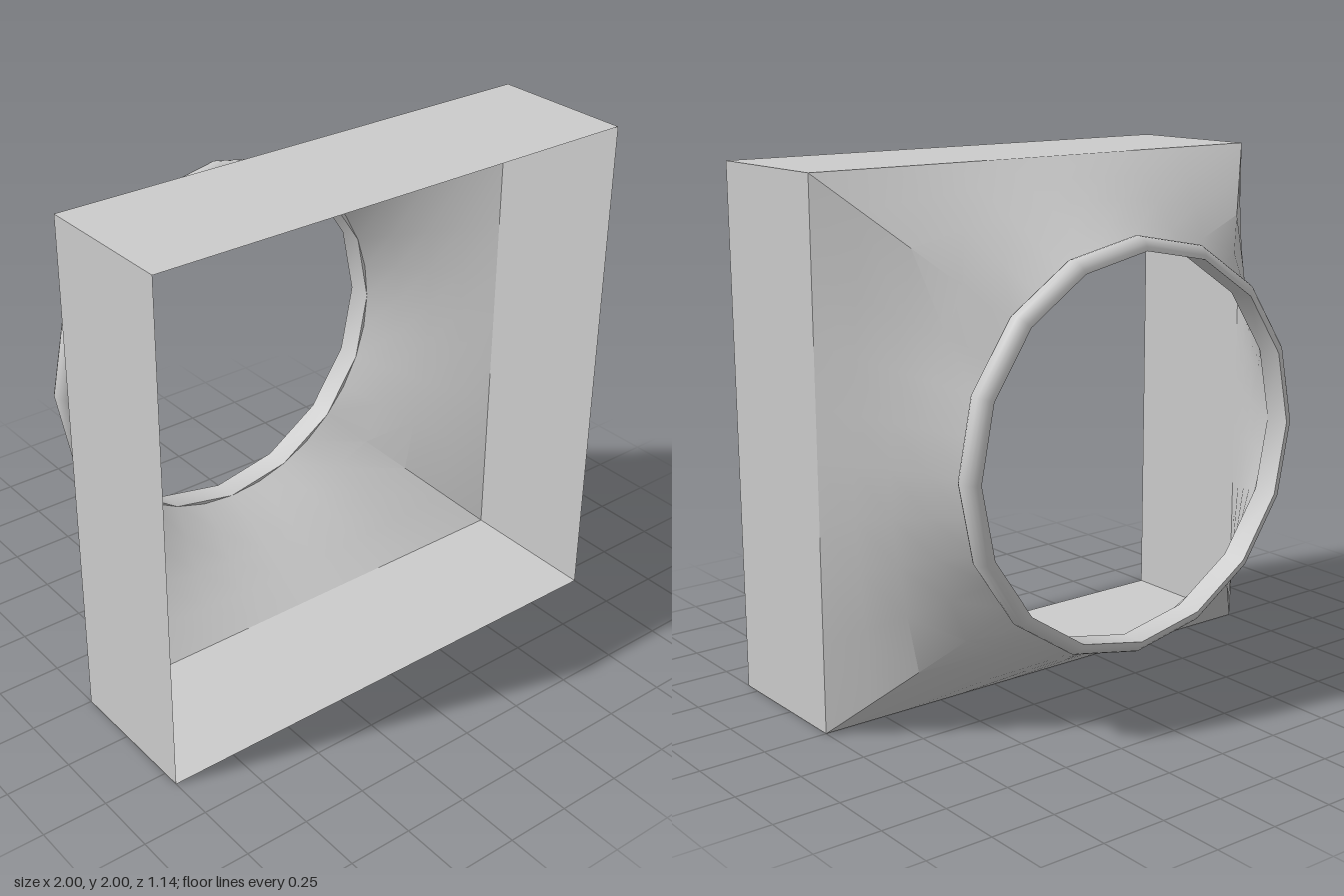
import * as THREE from 'three';
import { toCreasedNormals } from 'three/addons/utils/BufferGeometryUtils.js';

const DEPTH = 0.57;      // half of the total depth
const RADIUS = 0.715;    // round opening
const RIM = 0.05;        // radius of the half-round rim
const RIM_Z = -0.52;

// Skin straight quads between closed rings of points (wound outwards).
function loft(rings, crease) {
  const n = rings[0].length;
  const index = [];
  for (let r = 0; r < rings.length - 1; r++) {
    for (let i = 0; i < n; i++) {
      const a = r * n + i, b = r * n + (i + 1) % n, c = a + n, d = b + n;
      index.push(a, c, b, b, c, d);
    }
  }
  const geo = new THREE.BufferGeometry().setFromPoints(rings.flat());
  geo.setIndex(index);
  return toCreasedNormals(geo, crease);
}

// Point on the unit square in the direction of an angle.
function squarePoint(angle, z) {
  const x = Math.cos(angle), y = Math.sin(angle);
  const s = 1 / Math.max(Math.abs(x), Math.abs(y));
  return new THREE.Vector3(x * s, y * s, z);
}

export function createModel() {
  const group = new THREE.Group();
  const material = new THREE.MeshStandardMaterial({ color: 0xcccccc, side: THREE.DoubleSide });
  const add = (name, geometry) => {
    const mesh = new THREE.Mesh(geometry, material);
    mesh.name = name;
    mesh.position.y = 1;
    group.add(mesh);
    return mesh;
  };

  // Open square duct at the front
  const corners = [1, 3, 5, 7].map(k => k * Math.PI / 4);
  add('squareDuct', loft([DEPTH, 0].map(z => corners.map(a => squarePoint(a, z))), 0.5));

  // Transition from the square to the circle
  const angles = Array.from({ length: 32 }, (_, i) => i * Math.PI / 16);
  const rows = 4;
  const rings = [];
  for (let r = 0; r <= rows; r++) {
    rings.push(angles.map(a => {
      const circle = new THREE.Vector3(RADIUS * Math.cos(a), RADIUS * Math.sin(a), RIM_Z + RIM);
      return squarePoint(a, 0).lerp(circle, r / rows);
    }));
  }
  add('squareToRoundTransition', loft(rings, 0.6));

  // Half-round rim with a flat inner wall
  const profile = [];
  for (let i = 0; i <= 10; i++) {
    const t = -Math.PI / 2 + i * Math.PI / 10;
    profile.push(new THREE.Vector2(RADIUS + RIM * Math.cos(t), RIM * Math.sin(t)));
  }
  profile.push(profile[0].clone());
  const rimGeo = toCreasedNormals(new THREE.LatheGeometry(profile, 16), 0.8);
  const rim = add('roundRim', rimGeo);
  rim.rotation.x = Math.PI / 2;
  rim.position.z = RIM_Z;

  return group;
}
